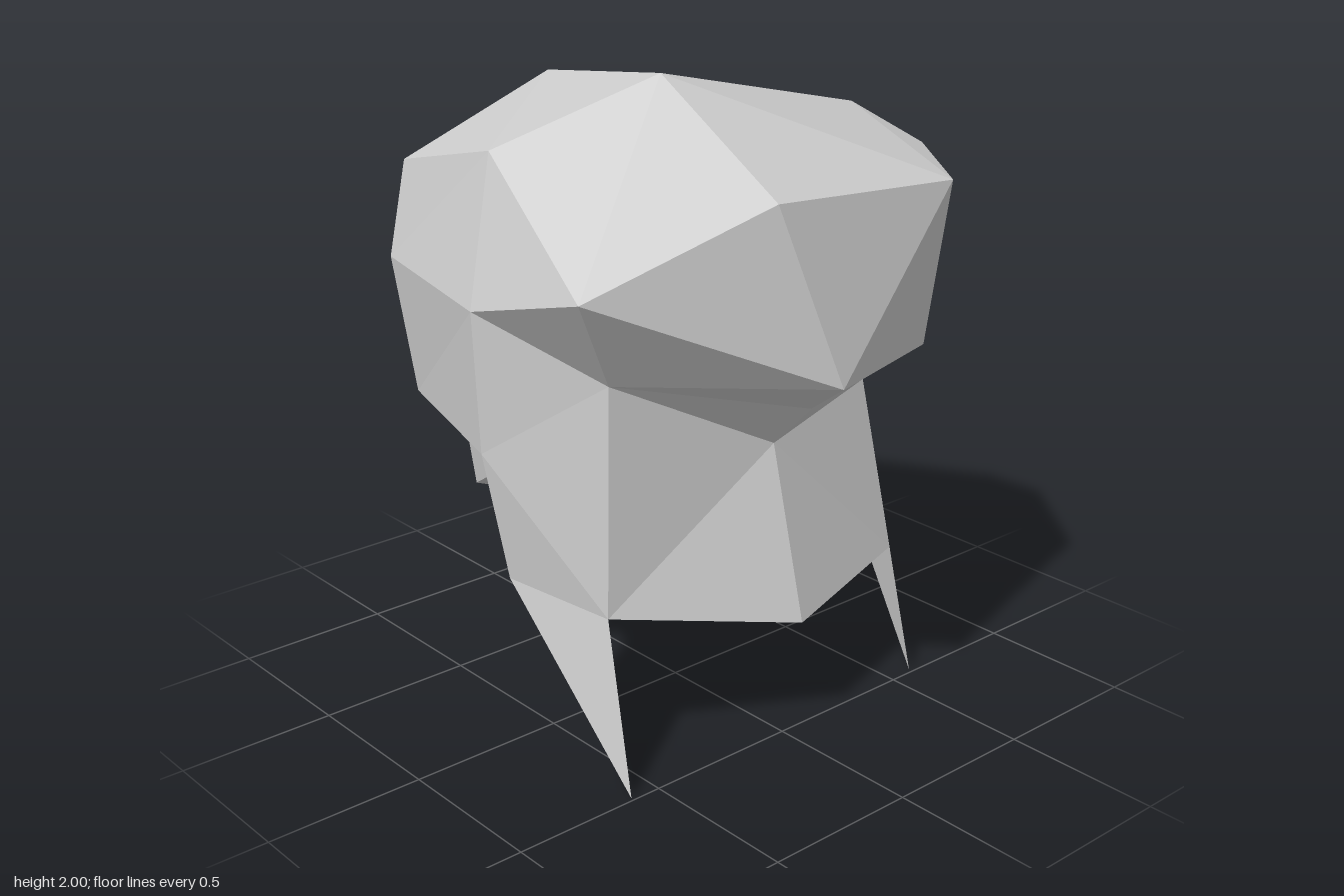
import * as THREE from 'three';

// Named corner points, shared by the parts
const P = {
  // crown
  peak: [-0.16, 2, 0.12], crown: [-0.07, 1.91, -0.52],
  r1: [0.65, 1.81, 0.09], r2: [0.75, 1.7, 0.3], b1: [0.45, 1.7, 0.69], b2: [-0.3, 1.765, 0.75],
  l1: [-0.735, 1.51, 0.46], l2: [-0.59, 1.8, -0.12], l3: [-0.54, 1.68, -0.63],
  f1: [-0.02, 1.64, -0.81], f2: [0.18, 1.6, -0.74], s: [0.53, 1.47, -0.69],
  // lower rim of the crown
  e: [0.68, 1.29, 0.05], n: [-0.13, 1.24, 0.84], m: [0.64, 1.1, 0.44], g: [-0.755, 1.39, 0],
  h: [-0.63, 1.4, -0.59], t: [-0.2, 1.36, -0.84], j: [-0.6, 0.98, -0.52], k: [-0.735, 0.96, 0],
  ra: [-0.54, 1.21, 0.34], rb: [-0.03, 1.1, 0.62], rc: [0, 0.935, 0.44], rd: [0.51, 0.98, 0.31],
  // long hair ends
  eL: [-0.56, 0.51, 0.35], eC: [0, 0.4, 0.575], eR: [0.545, 0.43, 0.418],
  kL: [-0.67, 0.56, 0.03], kR: [0.65, 0.6, 0.07],
  tipL: [-0.595, 0, 0.49], tipR: [0.575, 0.01, 0.5], innerTip: [0.53, 0.34, 0.05],
  // side lock
  k1: [0.62, 1.32, -0.24], k2: [0.56, 1.4, -0.56], k3: [0.5, 1.42, -0.66],
  k4: [0.51, 0.39, -0.22], k5: [0.57, 0.285, -0.37], k6: [0.455, 0.275, -0.44],
  // centre of the head
  brow: [0, 1.52, -0.7], chin: [-0.01, 0.545, -0.79], under: [0, 0.47, -0.46],
  // paired points of the head, given on the +x side
  temple: [0.33, 1.45, -0.66], side: [0.45, 1.32, -0.61], cheek: [0.28, 0.735, -0.72],
  jaw: [0.36, 0.59, -0.57], lobe: [0.48, 0.855, -0.12], nape: [0.46, 0.86, -0.02],
  earA: [0.54, 1.25, -0.01], earB: [0.51, 1.24, -0.18],
  neck: [0.32, 0.685, -0.01], notch: [0.25, 0.56, -0.22], spikeA: [0.3, 0.19, -0.29], spikeB: [0.38, 0.39, 0.07],
  // eye and eyebrow
  eyeA: [0.09, 1.17, -0.745], eyeB: [0.13, 1.185, -0.735], eyeC: [0.24, 1.18, -0.705], eyeD: [0.2, 1.15, -0.74],
  browA: [0.06, 1.29, -0.745], browB: [0.33, 1.36, -0.695], browC: [0.29, 1.29, -0.695],
};

export function createModel() {
  const group = new THREE.Group();
  const grey = new THREE.MeshStandardMaterial({ color: 0xcccccc });
  grey.name = 'plain grey';
  grey.flatShading = true;
  grey.side = THREE.DoubleSide;

  // Builds a faceted sheet from faces written as point names; a leading "-" mirrors a point
  function sheet(name, faces, mirror = false) {
    const pos = [];
    const point = (id, flip) => {
      const neg = id[0] === '-';
      const p = P[neg ? id.slice(1) : id];
      return [p[0] * (neg !== flip ? -1 : 1), p[1], p[2]];
    };
    for (const flip of mirror ? [false, true] : [false]) {
      for (const face of faces) {
        const c = face.split(' ').map((id) => point(id, flip));
        if (flip) c.reverse();
        for (let i = 1; i < c.length - 1; i++) pos.push(...c[0], ...c[i], ...c[i + 1]);
      }
    }
    const geo = new THREE.BufferGeometry();
    geo.setAttribute('position', new THREE.Float32BufferAttribute(pos, 3));
    geo.computeVertexNormals();
    const mesh = new THREE.Mesh(geo, grey);
    mesh.name = name;
    group.add(mesh);
  }

  sheet('hairCrown', [
    'peak r1 crown', 'peak b1 r1', 'r1 b1 r2', 'peak b2 b1', 'peak l1 b2', 'peak l2 l1', 'peak crown l2',
    'crown l3 l2', 'crown f1 l3', 'crown f2 f1', 'crown s f2', 'crown r1 s',
    'r1 e s', 'r1 r2 e', 'r2 m e', 'e m rd', 'b1 m r2', 'b1 n m', 'b1 b2 n', 'b2 l1 n',
  ]);
  sheet('hairSweep', [
    'l1 ra n', 'l1 g ra', 'l1 l2 g', 'l2 h g', 'l2 l3 h', 'l3 t h', 'l3 f1 t', 'g h j', 'g j k', 'h t j',
  ]);
  sheet('hairRim', ['n rb m', 'n ra rb', 'rb rd m', 'rb rc rd', 'ra rc rb']);

  // underside of the fringe, meeting the forehead
  sheet('fringeUnderside', [
    's temple f2', 'f2 temple brow', 'f2 brow f1', 'f1 brow t', 't brow -temple', 't -temple j', '-temple -side j',
    'e earA earB', 'e earB k1', 'k1 earB side', 'k1 side s', 's side temple',
  ]);

  // long hair behind the neck with its pointed ends
  sheet('backHair', ['ra eL rc', 'rc eL eC', 'rc eC eR', 'rc eR rd']);
  sheet('leftEdgeHair', ['e rd kR', 'rd tipR kR', 'e innerTip kR', 'e nape innerTip']);
  sheet('rightEdgeHair', ['g k ra', 'k eL ra', 'k kL eL', 'kL tipL eL', 'k -neck kL', 'kL -neck -spikeB', 'k j -neck']);
  sheet('sideLock', ['k1 k4 k5 k2', 'k2 k5 k6 k3', 'k3 k6 k4 k1', 'k4 k6 k5']);

  // head
  sheet('face', ['brow temple cheek', 'brow cheek chin', 'temple side jaw', 'temple jaw cheek', 'cheek jaw chin'], true);
  sheet('jawUnderside', ['chin jaw under', 'under jaw lobe', 'under lobe neck', 'neck lobe nape'], true);
  sheet('headSide', ['side earB lobe', 'side lobe jaw', 'earB earA lobe', 'earA nape lobe'], true);
  sheet('neckSpikes', ['under spikeA notch', 'notch spikeB neck', 'under notch neck'], true);

  // facial details
  sheet('eyes', ['eyeA eyeB eyeC eyeD'], true);
  sheet('eyebrows', ['browA browB browC'], true);
  return group;
}
